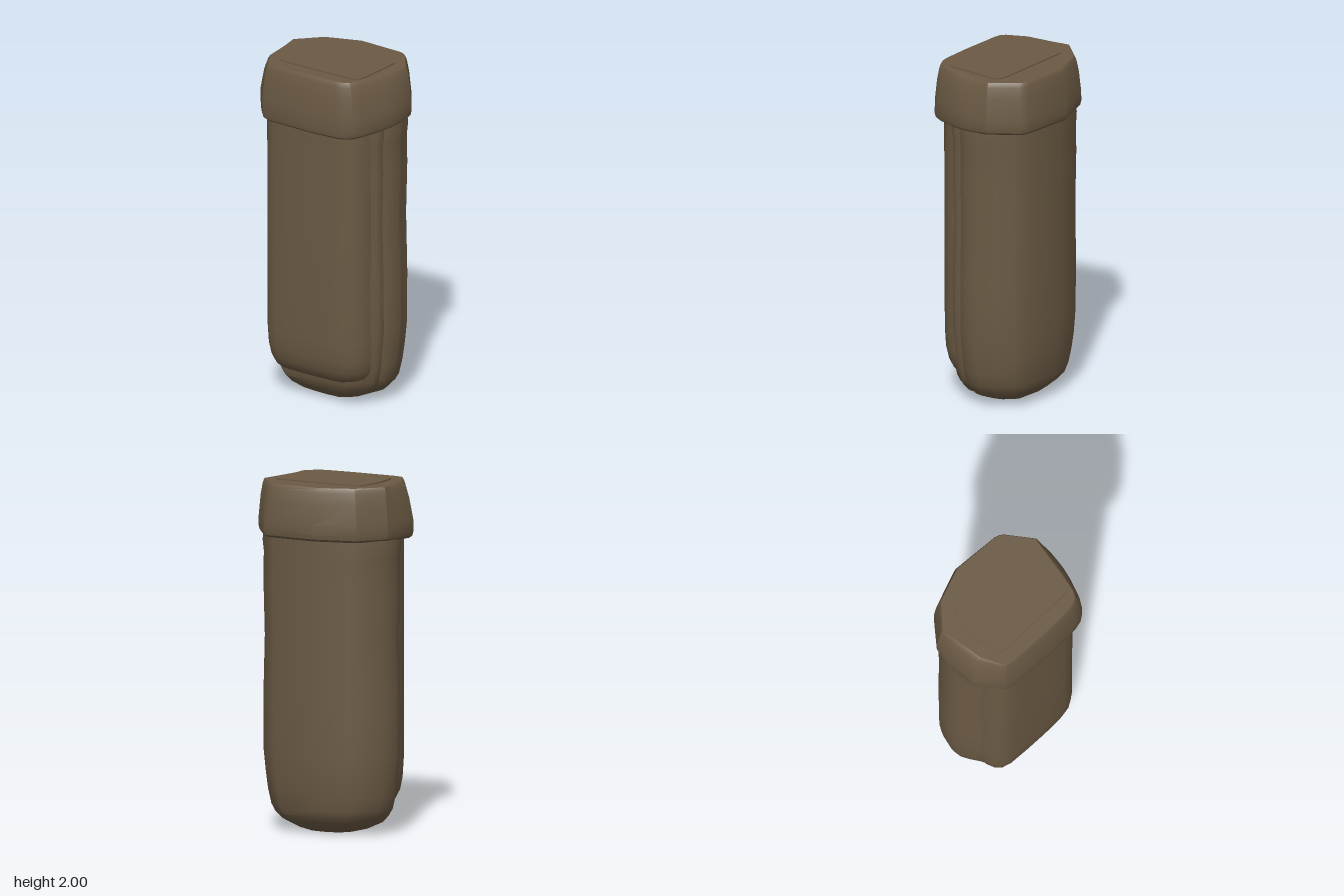
import * as THREE from 'three';
import { toCreasedNormals } from 'three/addons/utils/BufferGeometryUtils.js';

// Loft of one [x, z] section through rings [y, scaleX, scaleZ, blend];
// blend moves each point towards the matching one of topSection, lift raises or lowers it
function loft(section, rings, topSection = section, lift = () => 0) {
  const n = section.length, pos = [], idx = [];
  for (const [y, sx, sz, blend = 0] of rings)
    section.forEach((p, i) => {
      const x = THREE.MathUtils.lerp(p[0], topSection[i][0], blend) * sx;
      const z = THREE.MathUtils.lerp(p[1], topSection[i][1], blend) * sz;
      pos.push(x, y + lift(x, y, z), z);
    });
  for (let j = 0; j < rings.length - 1; j++)
    for (let i = 0; i < n; i++) {
      const k = (i + 1) % n, a = j * n + i, b = j * n + k;
      idx.push(a, b, b + n, a, b + n, a + n);
    }
  const last = rings.length - 1, bottom = pos.length / 3, top = bottom + 1;
  const middle = section.reduce((s, p) => s + p[1], 0) / n;
  pos.push(0, rings[0][0], middle * rings[0][2], 0, rings[last][0], middle * rings[last][2]);
  for (let i = 0; i < n; i++) {
    const k = (i + 1) % n;
    idx.push(bottom, k, i, top, last * n + i, last * n + k);
  }
  const g = new THREE.BufferGeometry();
  g.setAttribute('position', new THREE.Float32BufferAttribute(pos, 3));
  g.setIndex(idx);
  return g;
}

// Rounded rectangle with a bowed left side
function plateShape(x0, x1, y0, y1, r, bow) {
  const s = new THREE.Shape();
  s.moveTo(x0 + r, y0);
  s.lineTo(x1 - r, y0);
  s.quadraticCurveTo(x1, y0, x1, y0 + r);
  s.lineTo(x1, y1 - r);
  s.quadraticCurveTo(x1, y1, x1 - r, y1);
  s.lineTo(x0 + r, y1);
  s.quadraticCurveTo(x0 + bow, y1, x0 + bow / 2, y1 - r);
  s.quadraticCurveTo(x0 - bow / 2, (y0 + y1) / 2, x0 + bow / 2, y0 + r);
  s.quadraticCurveTo(x0 + bow, y0, x0 + r, y0);
  return s;
}

export function createModel() {
  const group = new THREE.Group();
  const brown = new THREE.MeshStandardMaterial({ color: 0x6b5a44 });
  brown.name = 'brown';
  const add = (name, geometry, crease) => {
    const mesh = new THREE.Mesh(toCreasedNormals(geometry, crease), brown);
    mesh.name = name;
    group.add(mesh);
  };

  // Shell: faceted back, ridged sides, tapered foot
  const shell = [
    [0, 0.26], [0.25, 0.25], [0.325, 0.19], [0.342, 0.155], [0.368, 0.13], [0.376, 0.1],
    [0.374, 0.075], [0.39, 0.05], [0.4, 0.02], [0.408, -0.03], [0.402, -0.07],
    [0.386, -0.1], [0.386, -0.13], [0.365, -0.165], [0.285, -0.25], [0.235, -0.282],
    [-0.06, -0.302], [-0.24, -0.258], [-0.3, -0.22], [-0.39, -0.12], [-0.412, -0.03],
    [-0.405, 0.03], [-0.38, 0.08], [-0.342, 0.14], [-0.318, 0.19], [-0.25, 0.25],
  ];
  add('shell', loft(shell, [
    [0, 0.34, 0.4], [0.02, 0.53, 0.54], [0.06, 0.75, 0.71], [0.1, 0.84, 0.83],
    [0.14, 0.9, 0.865], [0.22, 0.945, 0.91], [0.32, 0.975, 0.955], [0.45, 1.01, 0.97],
    [0.75, 1.01, 0.985], [1.1, 0.985, 0.99], [1.4, 1.005, 1], [1.58, 1, 1],
    [1.64, 1.02, 1], [1.74, 1, 1],
  ]), 0.6);

  // Raised front panel with soft edges and a rounded lower end
  const panel = [
    [0.345, 0.15], [0.3, 0.1], [-0.3, 0.1], [-0.335, 0.14], [-0.328, 0.2], [-0.31, 0.25],
    [-0.275, 0.285], [-0.22, 0.301], [-0.1, 0.307], [0.05, 0.31], [0.18, 0.306],
    [0.24, 0.294], [0.283, 0.267], [0.318, 0.228], [0.338, 0.19],
  ];
  add('frontPanel', loft(panel, [
    [0.14, 0.76, 0.68], [0.15, 0.83, 0.76], [0.175, 0.9, 0.84], [0.22, 0.955, 0.91],
    [0.29, 0.985, 0.96], [0.4, 1, 0.982], [1, 1, 0.992], [1.72, 1, 1],
  ]), 0.8);

  // Cap: irregular many-sided block, narrowing to a flat top
  const cap = [
    [0.05, 0.347], [0.24, 0.338], [0.29, 0.325], [0.33, 0.298], [0.36, 0.25], [0.405, 0.13],
    [0.425, 0.05], [0.432, -0.03], [0.415, -0.14], [0.3, -0.295], [0.28, -0.314],
    [0.25, -0.325], [-0.06, -0.351], [-0.295, -0.262], [-0.415, -0.115], [-0.434, 0],
    [-0.42, 0.165], [-0.325, 0.285], [-0.295, 0.317], [-0.25, 0.334],
  ];
  const capTop = [
    [0.04, 0.31], [0.21, 0.305], [0.255, 0.297], [0.29, 0.28], [0.312, 0.24], [0.335, 0.13],
    [0.348, 0.05], [0.362, -0.03], [0.38, -0.13], [0.27, -0.27], [0.25, -0.285],
    [0.22, -0.295], [-0.06, -0.31], [-0.265, -0.235], [-0.385, -0.1], [-0.365, 0],
    [-0.34, 0.165], [-0.285, 0.275], [-0.265, 0.297], [-0.22, 0.305],
  ];
  const lowerEdge = (x, y, z) =>
    y < 1.72 ? -0.05 * z + 0.08 * Math.max(0, Math.abs(x) - 0.3) : 0;
  add('cap', loft(cap, [
    [1.685, 0.86, 0.84], [1.673, 0.95, 0.95], [1.685, 0.985, 0.985], [1.71, 1, 1],
    [1.78, 0.997, 0.997], [1.9, 1, 1, 0.35], [1.965, 1, 1, 0.68], [1.985, 1, 1, 0.86],
    [1.993, 1, 1, 1],
  ], capTop, lowerEdge), 0.45);

  // Thin plate on top of the cap
  const plate = new THREE.ExtrudeGeometry(
    plateShape(-0.28, 0.312, -0.226, 0.155, 0.06, 0.03),
    { depth: 0.007, bevelEnabled: false, curveSegments: 6 });
  plate.rotateX(-Math.PI / 2).translate(0, 1.993, 0);
  add('topPlate', plate, 0.5);

  return group;
}
